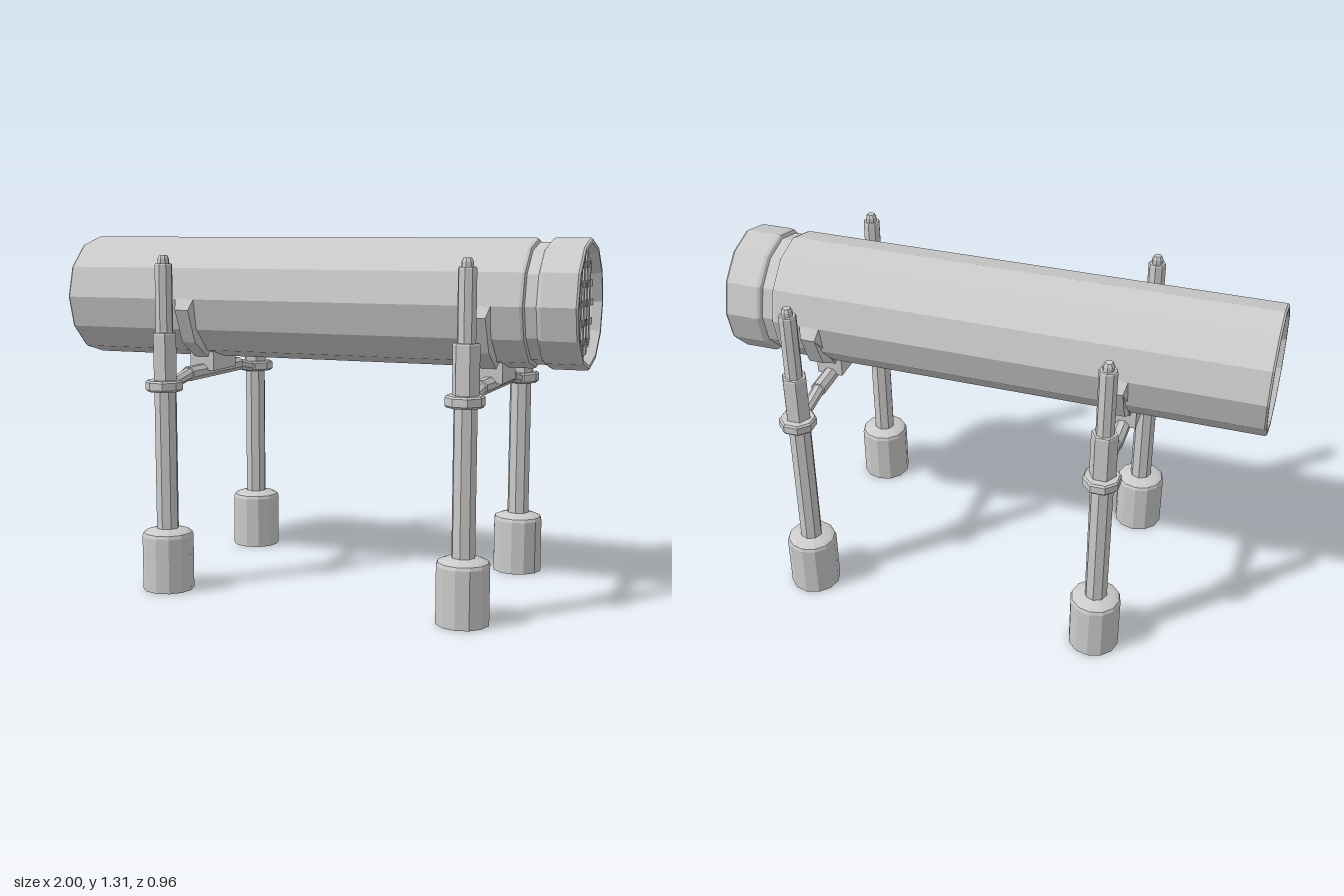
import * as THREE from 'three';

const mat = new THREE.MeshStandardMaterial({ color: 0xcccccc, flatShading: true });
const V2 = (p) => new THREE.Vector2(p[0], p[1]);
const AXIS_Y = 1.077;

function add(parent, name, geometry, x = 0, y = 0, z = 0) {
  const mesh = new THREE.Mesh(geometry, mat);
  mesh.name = name;
  mesh.position.set(x, y, z);
  parent.add(mesh);
  return mesh;
}

// Turned part from [radius, height] pairs
const lathe = (points, sides) => new THREE.LatheGeometry(points.map(V2), sides);

// Faceted rod between two points
function rod(parent, name, a, b, ra, rb) {
  const dir = b.clone().sub(a);
  const mesh = add(parent, name, new THREE.CylinderGeometry(rb, ra, dir.length(), 8).rotateY(Math.PI / 8));
  mesh.position.copy(a).add(b).multiplyScalar(0.5);
  mesh.quaternion.setFromUnitVectors(new THREE.Vector3(0, 1, 0), dir.normalize());
}

// Hollow twelve-sided tube with a groove near its left end
function makeTube() {
  const profile = [
    [0.2, -0.965], [0.212, -0.995], [0.214, -1], [0.227, -1], [0.232, -0.993],
    [0.232, 0.8], [0.228, 0.81], [0.217, 0.815], [0.217, 0.855], [0.228, 0.862], [0.232, 0.872],
    [0.232, 0.993], [0.227, 1], [0.214, 1], [0.212, 0.995], [0.2, 0.965], [0.2, -0.965],
  ];
  return lathe(profile, 12).rotateZ(-Math.PI / 2);
}

// Grating: crossed bars cut to the chord of the tube
function makeGrating(x) {
  const grating = new THREE.Group();
  grating.name = 'grating';
  grating.position.set(x, AXIS_Y, 0);
  const chord = (d) => 2 * Math.sqrt(0.21 ** 2 - d * d);
  for (let i = -3; i < 4; i++) {
    const z = (i + 0.5) * 0.0508;
    if (Math.abs(z) < 0.2) add(grating, 'uprightBar', new THREE.BoxGeometry(0.03, chord(z), 0.023), 0, 0, z);
  }
  add(grating, 'uprightBar', new THREE.BoxGeometry(0.03, chord(0.178), 0.023), 0, 0, 0.178);
  for (let i = -2; i <= 2; i++) {
    const y = i * 0.0692;
    add(grating, 'crossBar', new THREE.BoxGeometry(0.026, 0.024, chord(y)), 0, y, 0);
  }
  return grating;
}

// Saddle hugging the underside of the tube, tapering outwards
function makeSaddle() {
  const half = [[0.222, 0], [0.232, 0], [0.256, -0.04], [0.2, -0.165], [0.1, -0.228]];
  const inner = [[-0.193, -0.111], [-0.111, -0.193], [0, -0.222], [0.111, -0.193], [0.193, -0.111]];
  const outline = [
    ...half, ...half.slice().reverse().map(([x, y]) => [-x, y]), ...inner,
  ];
  const g = new THREE.ExtrudeGeometry(new THREE.Shape(outline.map(V2)), { depth: 0.076, bevelEnabled: false });
  g.translate(0, 0, -0.038);
  const p = g.attributes.position;
  for (let i = 0; i < p.count; i++) {
    if (Math.hypot(p.getX(i), p.getY(i)) > 0.24) p.setZ(i, p.getZ(i) * 0.72);
  }
  return g.rotateY(Math.PI / 2);
}

// Foot, pole, sleeve, tip and clamp
function makePost(z) {
  const post = new THREE.Group();
  post.name = 'post';
  post.position.z = z;
  add(post, 'foot', lathe([[0, 0], [0.095, 0], [0.095, 0.205], [0.09, 0.217], [0.075, 0.224], [0.045, 0.232], [0, 0.232]], 12));
  add(post, 'pole', new THREE.CylinderGeometry(0.042, 0.042, 0.57, 8), 0, 0.5, 0);
  add(post, 'sleeve', lathe([[0, 0.77], [0.048, 0.77], [0.048, 0.957], [0.045, 0.963], [0, 0.963]], 6).rotateY(Math.PI / 2));
  add(post, 'upperPole', lathe([[0.033, 0.95], [0.033, 1.21], [0.03, 1.215], [0, 1.215]], 8));
  add(post, 'tip', lathe([[0.021, 1.21], [0.021, 1.233], [0.014, 1.245], [0, 1.245]], 8));
  add(post, 'clamp', lathe([[0, 0.748], [0.063, 0.748], [0.069, 0.755], [0.069, 0.782], [0.063, 0.789], [0, 0.789]], 8)
    .rotateY(Math.PI / 8), 0, 0, Math.sign(z) * 0.008);
  return post;
}

// Pair of posts joined under the tube
function makeSupport(x) {
  const support = new THREE.Group();
  support.name = 'support';
  support.position.x = x;
  add(support, 'saddle', makeSaddle(), 0, AXIS_Y, 0);
  add(support, 'saddleBlock', new THREE.BoxGeometry(0.1, 0.075, 0.192), 0, 0.832, 0);
  rod(support, 'crossBeam', new THREE.Vector3(0, 0.792, -0.21), new THREE.Vector3(0, 0.792, 0.21), 0.029, 0.029);
  for (const s of [-1, 1]) {
    rod(support, 'arm', new THREE.Vector3(0, 0.793, s * 0.2), new THREE.Vector3(0, 0.767, s * 0.34), 0.024, 0.021);
    support.add(makePost(s * 0.383));
  }
  return support;
}

export function createModel() {
  const model = new THREE.Group();
  model.name = 'tubeOnPosts';
  add(model, 'tube', makeTube(), 0, AXIS_Y, 0);
  for (const s of [-1, 1]) model.add(makeGrating(s * 0.955));
  for (const x of [-0.485, 0.662]) model.add(makeSupport(x));
  return model;
}
